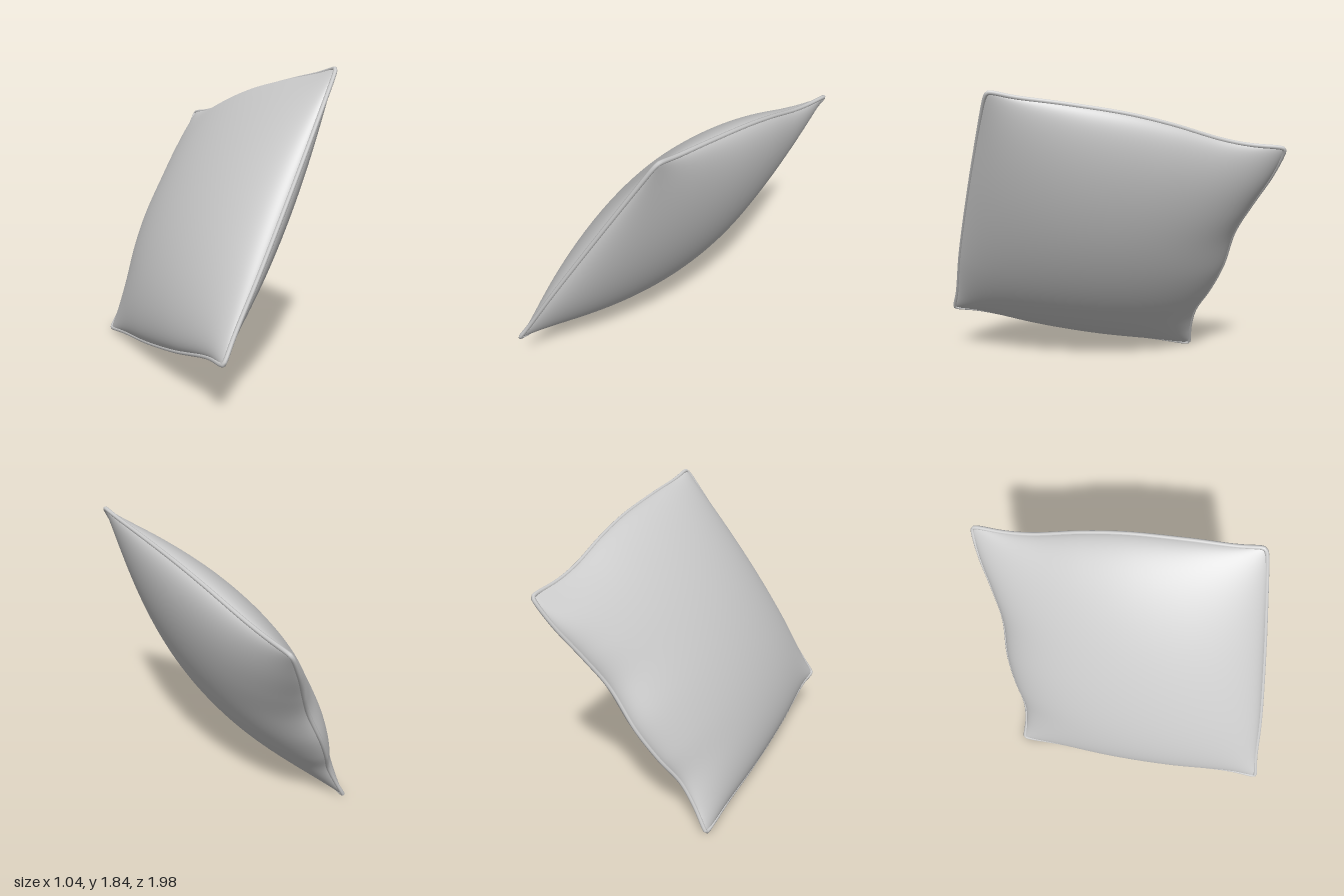
import * as THREE from 'three';

// Corners of the leaning cushion's seam
const topFront = new THREE.Vector3(0.415, 1.845, 0.735);
const topBack = new THREE.Vector3(0.515, 1.515, -0.99);
const lowFront = new THREE.Vector3(-0.515, 0.33, 0.99);
const lowBack = new THREE.Vector3(-0.375, 0.012, -0.695);

const across = topBack.clone().sub(topFront).add(lowBack).sub(lowFront).normalize();
const upward = topFront.clone().sub(lowFront).add(topBack).sub(lowBack).normalize();
const normal = across.clone().cross(upward).normalize();

// Piecewise smooth curve through [position, offset] pairs
function profile(points) {
  const curve = new THREE.CatmullRomCurve3(points.map(([t, d]) => new THREE.Vector3(t, d, 0)));
  const samples = curve.getPoints(120);
  return (t) => {
    let i = 1;
    while (i < samples.length - 1 && samples[i].x < t) i++;
    const a = samples[i - 1], b = samples[i];
    return THREE.MathUtils.lerp(a.y, b.y, THREE.MathUtils.clamp((t - a.x) / (b.x - a.x), 0, 1));
  };
}

// Inward pull of each edge, measured along that edge
const pullBack = profile([[0, 0], [0.1, 0.055], [0.2, 0.08], [0.32, 0.05], [0.45, 0.04], [0.62, 0.07], [0.75, 0.045], [0.88, 0.01], [1, 0]]);
const pullFront = profile([[0, 0], [0.08, 0.01], [0.3, -0.008], [0.6, -0.012], [0.85, -0.006], [1, 0]]);
const pullTop = profile([[0, 0], [0.08, 0.008], [0.25, -0.01], [0.45, -0.022], [0.6, -0.008], [0.78, 0.028], [0.88, 0.028], [1, 0]]);
const pullLow = profile([[0, 0], [0.1, 0.022], [0.35, -0.004], [0.6, -0.01], [0.85, 0.004], [1, 0]]);

// Point on the cushion: s runs front to back, t runs bottom to top
function cushionPoint(s, t, side) {
  const low = lowFront.clone().lerp(lowBack, s);
  const p = low.lerp(topFront.clone().lerp(topBack, s), t);
  p.addScaledVector(across, pullFront(t) * (1 - s) ** 3 - pullBack(t) * s ** 3);
  p.addScaledVector(upward, pullLow(s) * (1 - t) ** 3 - pullTop(s) * t ** 3);
  const u = 2 * s - 1, v = 2 * t - 1;
  // blunt corners
  const corner = 0.012 * Math.abs(u * v) ** 30;
  p.addScaledVector(across, -Math.sign(u) * corner).addScaledVector(upward, -Math.sign(v) * corner);
  // stuffed swelling
  const swell = 0.27 * Math.max(0, (1 - u * u) * (1 - v * v)) ** 0.58;
  return p.addScaledVector(normal, side * swell);
}

// Spacing that gathers rows towards the seam
const ease = (k) => 0.5 - 0.5 * Math.cos(Math.PI * THREE.MathUtils.clamp(k, 0, 1));

function panel(name, side, material) {
  const geometry = new THREE.PlaneGeometry(1, 1, 72, 72);
  const pos = geometry.attributes.position;
  for (let i = 0; i < pos.count; i++) {
    const p = cushionPoint(ease(0.5 + side * pos.getX(i)), ease(0.5 + pos.getY(i)), side);
    pos.setXYZ(i, p.x, p.y, p.z);
  }
  geometry.computeVertexNormals();
  const mesh = new THREE.Mesh(geometry, material);
  mesh.name = name;
  return mesh;
}

export function createModel() {
  const group = new THREE.Group();
  group.name = 'cushion';
  const material = new THREE.MeshStandardMaterial({ color: 0xcccccc });

  // Two stuffed cloth panels
  group.add(panel('lowerPanel', 1, material), panel('upperPanel', -1, material));

  // Thin rounded seam around the rim
  const rim = [];
  const n = 40;
  for (let i = 0; i < n; i++) rim.push(cushionPoint(ease(i / n), 0, 0));
  for (let i = 0; i < n; i++) rim.push(cushionPoint(1, ease(i / n), 0));
  for (let i = 0; i < n; i++) rim.push(cushionPoint(ease(1 - i / n), 1, 0));
  for (let i = 0; i < n; i++) rim.push(cushionPoint(0, ease(1 - i / n), 0));
  const path = new THREE.CatmullRomCurve3(rim, true);
  const seam = new THREE.Mesh(new THREE.TubeGeometry(path, 400, 0.013, 8, true), material);
  seam.name = 'seam';
  group.add(seam);
  return group;
}
